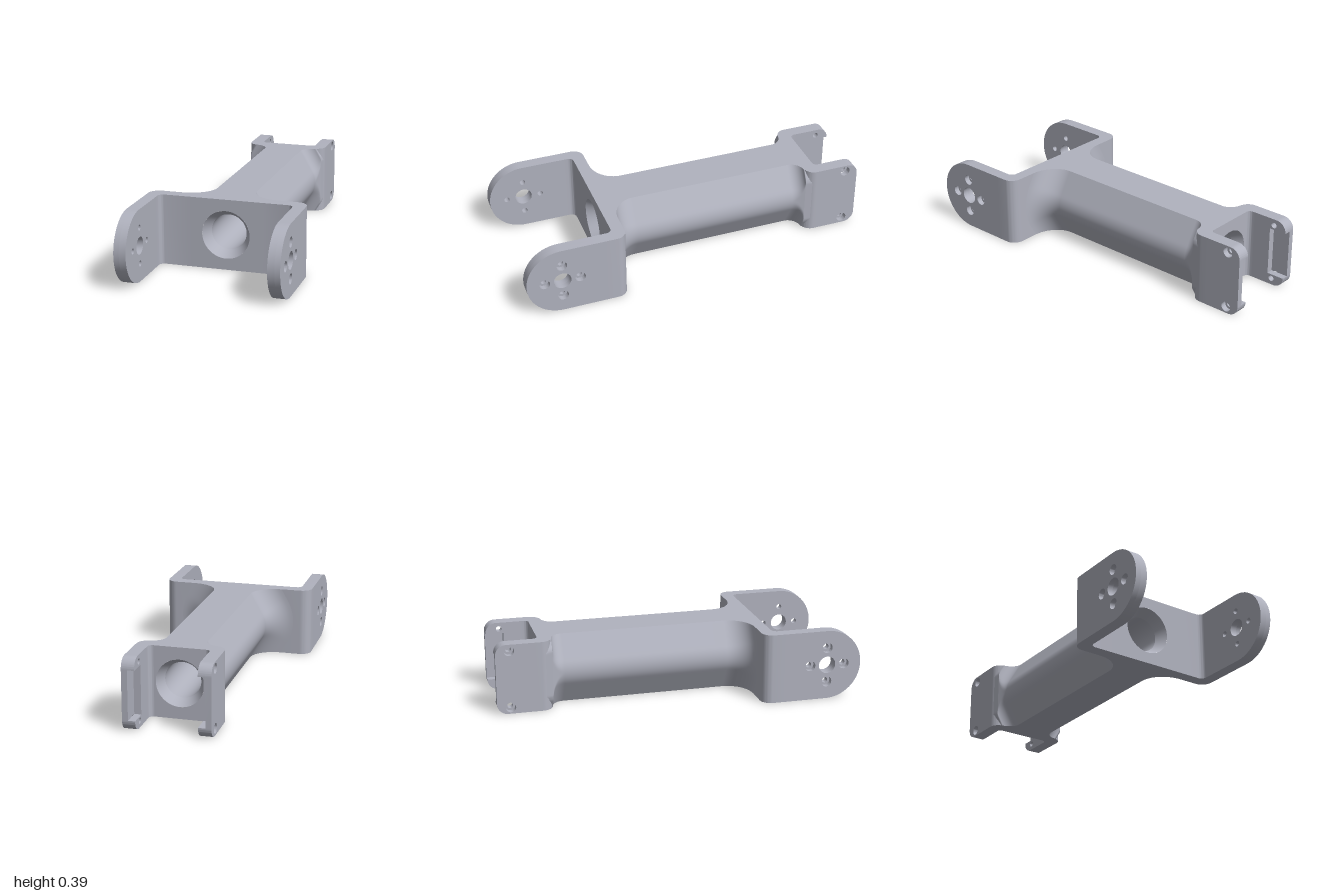
import * as THREE from 'three';
import { toCreasedNormals } from 'three/addons/utils/BufferGeometryUtils.js';
import { ParametricGeometry } from 'three/addons/geometries/ParametricGeometry.js';

const H = 0.392, MID = H / 2;
const FRONT = 0.505, BACK = -0.76;         // inner faces of the two forks
const FRONT_R = 0.135, BACK_R = 0.07;      // fillets where the beam meets the forks

export function createModel() {
  const group = new THREE.Group();
  const metal = new THREE.MeshStandardMaterial({ color: 0xb0b2be });
  metal.name = 'grey metal';

  const add = (name, geometry) => {
    const mesh = new THREE.Mesh(geometry, metal);
    mesh.name = name;
    group.add(mesh);
  };
  const hole = (shape, x, y, r) => {
    const path = new THREE.Path();
    path.absarc(x, y, r, 0, Math.PI * 2, true);
    shape.holes.push(path);
  };
  const extrude = (shape, depth) => toCreasedNormals(
    new THREE.ExtrudeGeometry(shape, { depth, bevelEnabled: false, curveSegments: 14 }), 0.4);

  // Beam stations [z, outward offset], flaring with a quarter arc at each end
  const stations = [[BACK, BACK_R], [-0.74, BACK_R]];
  const STEPS = 12;
  for (let i = STEPS; i >= 0; i--) {
    const a = (i / STEPS) * Math.PI / 2;
    stations.push([-0.62 - BACK_R * Math.sin(a), BACK_R * (1 - Math.cos(a))]);
  }
  for (let i = 0; i <= STEPS; i++) {
    const a = (i / STEPS) * Math.PI / 2;
    stations.push([0.302 + FRONT_R * Math.sin(a), FRONT_R * (1 - Math.cos(a))]);
  }
  stations.push([FRONT, FRONT_R]);

  // Half width of the round-nosed hexagonal section at height y
  const halfWidth = (y, [z, d]) => {
    const v = Math.abs(y - MID), r = 0.13 + d;
    const x = v < r / 2
      ? 0.075 + Math.sqrt(r * r - v * v)
      : 0.075 + r / Math.cos(Math.PI / 6) - v * Math.tan(Math.PI / 6);
    if (z > -0.62) return x;
    return Math.min(x, 0.205 + 0.028 * THREE.MathUtils.smoothstep(-z, 0.62, 0.74));
  };
  const strip = (list, slices, point) => {
    const n = list.length - 1;
    const geometry = new ParametricGeometry((u, v, target) => {
      const s = list[THREE.MathUtils.clamp(Math.round(v * n), 0, n)];
      point(u, s, target);
    }, slices, n);
    geometry.computeVertexNormals();
    return geometry;
  };

  // Beam sides, top and bottom
  for (const s of [1, -1]) {
    add(s > 0 ? 'beamSideLeft' : 'beamSideRight', strip(stations.slice(1, -1), 40, (u, st, t) => {
      const y = H * (s > 0 ? u : 1 - u);
      t.set(s * halfWidth(y, st), y, st[0]);
    }));
    add(s > 0 ? 'beamTop' : 'beamBottom', strip(stations, 1, (u, st, t) => {
      t.set(s * (1 - 2 * u) * halfWidth(H, st), s > 0 ? H : 0, st[0]);
    }));
  }

  // Fork faces around the bore
  const forkFace = (w, r) => {
    const shape = new THREE.Shape();
    shape.moveTo(-w, 0).lineTo(w, 0).lineTo(w, H).lineTo(-w, H).closePath();
    hole(shape, 0, MID, r);
    return new THREE.ShapeGeometry(shape, 48);
  };
  add('frontForkFace', forkFace(0.2, 0.133).translate(0, 0, FRONT));
  add('backForkFace', forkFace(0.14, 0.13).rotateY(Math.PI).translate(0, 0, BACK));

  // Through bore, countersunk at both ends
  const profile = [[0.133, FRONT], [0.098, FRONT - 0.06], [0.098, BACK + 0.06], [0.13, BACK]]
    .map(([r, y]) => new THREE.Vector2(r, y));
  const bore = new THREE.LatheGeometry(profile, 48).rotateX(Math.PI / 2).translate(0, MID, 0);
  add('bore', toCreasedNormals(bore, 0.4));

  // Fork corner: plan with rounded outer and inner bends; e is the end direction in z
  const corner = (s, e, { start, inner, outer, web, face, end, ro, ri }) => {
    const shape = new THREE.Shape();
    const p = (x, z) => [s * x, -e * z];
    shape.moveTo(...p(start, web));
    shape.lineTo(...p(outer - ro, web));
    const k = 0.448;
    shape.bezierCurveTo(...p(outer - ro * k, web), ...p(outer, web + ro * k), ...p(outer, web + ro));
    shape.lineTo(...p(outer, end));
    shape.lineTo(...p(inner, end));
    shape.lineTo(...p(inner, face + ri));
    shape.bezierCurveTo(...p(inner, face + ri * k), ...p(inner - ri * k, face), ...p(inner - ri, face));
    shape.lineTo(...p(start, face));
    shape.closePath();
    return extrude(shape, H).rotateX(-Math.PI / 2);
  };
  const frontFork = { start: 0.2, inner: 0.373, outer: 0.44, web: 0.437, face: FRONT, end: 0.56, ro: 0.06, ri: 0.03 };
  const backFork = { start: 0.14, inner: 0.165, outer: 0.235, web: 0.69, face: -BACK, end: 0.8, ro: 0.06, ri: 0.025 };

  // Side plate: outline in (z, y), filling |x| from x0 to x1
  const plate = (shape, s, x0, x1) =>
    extrude(shape, x1 - x0).rotateY(-Math.PI / 2).translate(s > 0 ? x1 : -x0, 0, 0);

  // Front lug: rounded end, centre hole and four screw holes
  const frontLug = (r) => {
    const shape = new THREE.Shape();
    shape.moveTo(0.56, 0).lineTo(0.804, 0);
    shape.absarc(0.804, MID, MID, -Math.PI / 2, Math.PI / 2, false);
    shape.lineTo(0.56, H).closePath();
    hole(shape, 0.804, MID, 0.048);
    for (let i = 0; i < 4; i++) {
      const a = i * Math.PI / 2;
      hole(shape, 0.804 + 0.098 * Math.cos(a), MID + 0.098 * Math.sin(a), r);
    }
    return shape;
  };

  // Back lug: rounded corners, two screw holes, optional slot open at the end
  const backLug = (r, slotted) => {
    const shape = new THREE.Shape();
    const c = 0.06;
    shape.moveTo(-0.8, H).lineTo(-1 + c, H);
    shape.absarc(-1 + c, H - c, c, Math.PI / 2, Math.PI, false);
    if (slotted) shape.lineTo(-1, 0.331).lineTo(-0.9, 0.331).lineTo(-0.9, 0.061).lineTo(-1, 0.061);
    shape.lineTo(-1, c);
    shape.absarc(-1 + c, c, c, Math.PI, Math.PI * 1.5, false);
    shape.lineTo(-0.8, 0).closePath();
    for (const y of [0.036, H - 0.036]) hole(shape, -0.925, y, r);
    return shape;
  };

  for (const s of [1, -1]) {
    const side = s > 0 ? 'Left' : 'Right';
    add('frontForkCorner' + side, corner(s, 1, frontFork));
    add('backForkCorner' + side, corner(s, -1, backFork));
    add('frontLugInner' + side, plate(frontLug(0.016), s, 0.373, 0.41));
    add('frontLugOuter' + side, plate(frontLug(0.029), s, 0.41, 0.44));
    add('backLugInner' + side, plate(backLug(0.016, true), s, 0.165, 0.203));
    add('backLugOuter' + side, plate(backLug(0.028, false), s, 0.203, 0.235));
  }
  return group;
}
